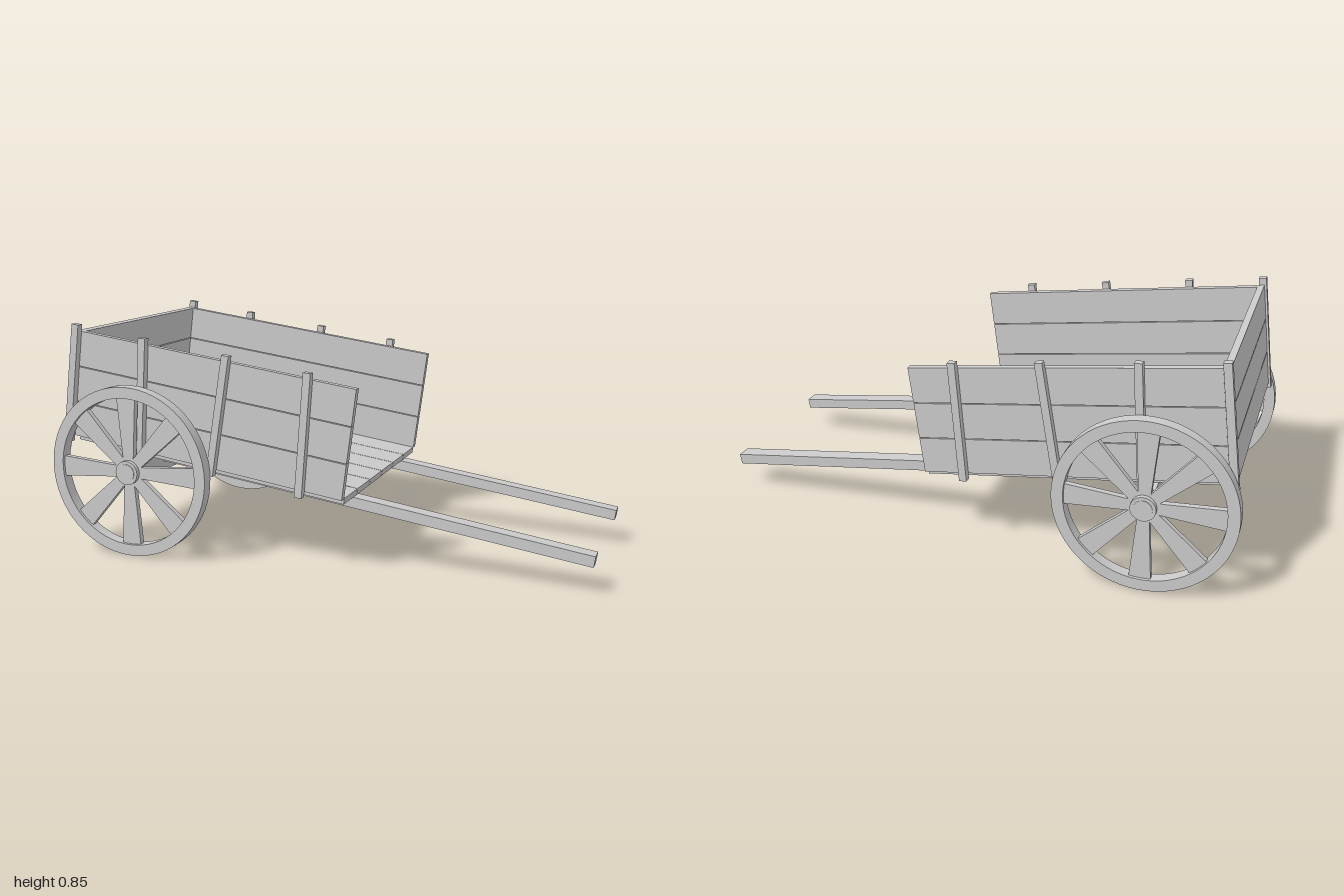
import * as THREE from 'three';
import { toCreasedNormals } from 'three/addons/utils/BufferGeometryUtils.js';

const material = new THREE.MeshStandardMaterial({ color: 0xcccccc });
const GAP = 0.003;

function add(parent, name, geometry, x = 0, y = 0, z = 0) {
  const mesh = new THREE.Mesh(geometry, material);
  mesh.name = name;
  mesh.position.set(x, y, z);
  parent.add(mesh);
  return mesh;
}

// Box given by its minimum and maximum on each axis
function slab(parent, name, [x0, x1], [y0, y1], [z0, z1]) {
  return add(parent, name, new THREE.BoxGeometry(x1 - x0, y1 - y0, z1 - z0),
    (x0 + x1) / 2, (y0 + y1) / 2, (z0 + z1) / 2);
}

// Solid centred on z = 0 from an outline in x and y
function extrude(shape, depth) {
  const geometry = new THREE.ExtrudeGeometry(shape, { depth, bevelEnabled: false, curveSegments: 32 });
  return toCreasedNormals(geometry.translate(0, 0, -depth / 2), 0.6);
}

function cylinder(radius, length) {
  return new THREE.CylinderGeometry(radius, radius, length, 24).rotateX(Math.PI / 2);
}

function createWheel() {
  const wheel = new THREE.Group();
  wheel.name = 'wheel';

  const ring = new THREE.Shape().absarc(0, 0, 0.32, 0, Math.PI * 2);
  ring.holes.push(new THREE.Path().absarc(0, 0, 0.278, 0, Math.PI * 2, true));
  add(wheel, 'rim', extrude(ring, 0.045));
  add(wheel, 'hub', cylinder(0.045, 0.056));

  // Spokes widen towards the rim
  const outline = new THREE.Shape([[0.03, -0.02], [0.284, -0.039], [0.284, 0.039], [0.03, 0.02]]
    .map(([x, y]) => new THREE.Vector2(x, y)));
  const spoke = extrude(outline, 0.022);
  for (let i = 0; i < 8; i++) {
    add(wheel, 'spoke', spoke).rotation.z = i * Math.PI / 4;
  }
  return wheel;
}

export function createModel() {
  const cart = new THREE.Group();
  cart.name = 'cart';

  // The body tilts forward about the axle
  const body = new THREE.Group();
  body.name = 'body';
  body.position.set(-0.681, 0.32, 0);
  body.rotation.z = -0.136;
  cart.add(body);

  const back = -0.277, front = 0.815, bottom = 0.066, top = 0.472;

  // Floor planks
  const floorWidth = 0.82 / 6;
  for (let i = 0; i < 6; i++) {
    const z = -0.41 + i * floorWidth;
    slab(body, 'floorPlank', [back, front], [0.046, 0.069], [z + GAP / 2, z + floorWidth - GAP / 2]);
  }

  // Side and back boards, three planks high
  const boardHeight = (top - bottom) / 3;
  for (let i = 0; i < 3; i++) {
    const y = [bottom + i * boardHeight + GAP / 2, bottom + (i + 1) * boardHeight - GAP / 2];
    slab(body, 'backBoard', [back - 0.025, back], y, [-0.435, 0.435]);
    slab(body, 'sideBoard', [back, front], y, [0.411, 0.436]);
    slab(body, 'sideBoard', [back, front], y, [-0.436, -0.411]);
  }

  // Upright posts outside the boards, each slightly out of true: position, lean
  const posts = [[-0.296, 0], [0, 0.06], [0.316, -0.035], [0.649, 0.05]];
  for (const side of [1, -1]) {
    for (const [x, lean] of posts) {
      const post = add(body, 'post', new THREE.BoxGeometry(0.028, 0.45, 0.026), x, 0.272, side * 0.449);
      post.rotation.z = lean;
    }
    // Pulling shafts under the floor
    const z = side * 0.283;
    slab(body, 'shaft', [-0.03, 1.691], [0.006, 0.046], [z - 0.028, z + 0.028]);
  }

  // Axle beam and its round ends
  slab(body, 'axleBeam', [-0.035, 0.035], [-0.035, 0.045], [-0.462, 0.462]);
  add(body, 'axle', cylinder(0.033, 1.038));

  for (const side of [1, -1]) {
    const wheel = createWheel();
    wheel.position.set(-0.681, 0.32, side * 0.489);
    cart.add(wheel);
  }
  return cart;
}
